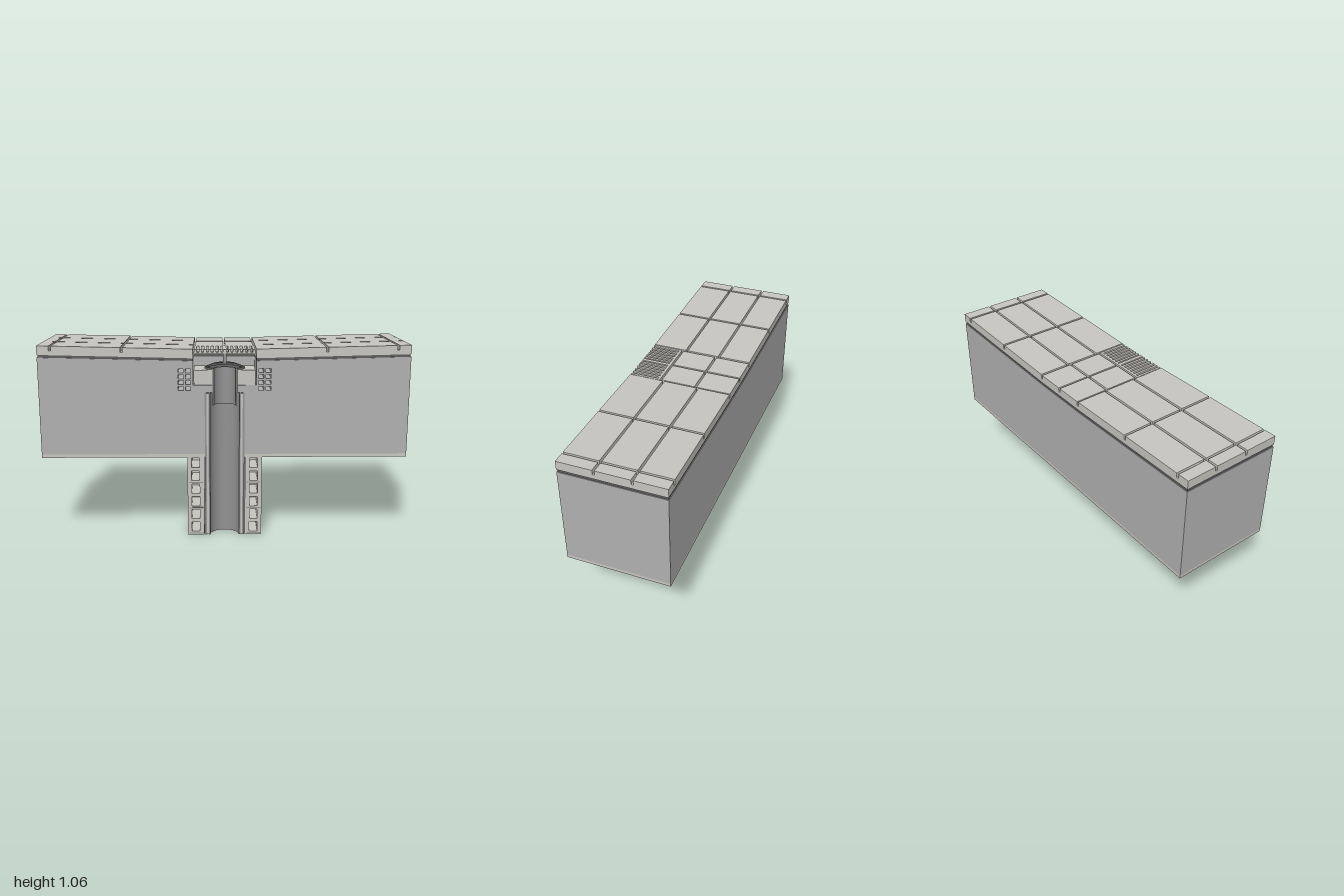
import * as THREE from 'three';

const mat = (name, color, side = THREE.FrontSide) => {
  const m = new THREE.MeshStandardMaterial({ color, side });
  m.name = name;
  return m;
};

const FRONT = 0.28, BACK = -0.28, WELL = 0.17, WELL_Z = 0.11;

// falls toward the drain from both ends, level over the well
const fall = x => Math.max(0, Math.abs(x) - WELL) * 0.024;
const tileTop = x => 1.045 + fall(x);
const bedTop = x => tileTop(x) - 0.025;
const bedBottom = x => tileTop(x) - 0.049;
const slabTop = x => tileTop(x) - 0.063;

const rect = (x0, x1, y0, y1) => [[x0, y0], [x1, y0], [x1, y1], [x0, y1]];
const toShape = pts => new THREE.Shape(pts.map(p => new THREE.Vector2(p[0], p[1])));

export function createModel() {
  const model = new THREE.Group();
  const light = mat('pale stone', 0xc8c6c0);
  const concrete = mat('grey concrete', 0xb0b0b0);
  const metal = mat('pipe grey', 0x929292, THREE.DoubleSide);
  const mortar = mat('sleeve filling', 0xc2c2c0, THREE.DoubleSide);
  const dark = mat('dark membrane', 0x5c5c5c, THREE.DoubleSide);

  const add = (name, geo, material, x = 0, y = 0, z = 0) => {
    const mesh = new THREE.Mesh(geo, material);
    mesh.name = name;
    mesh.position.set(x, y, z);
    model.add(mesh);
    return mesh;
  };
  const box = (name, m, x0, x1, y0, y1, z0, z1) =>
    add(name, new THREE.BoxGeometry(x1 - x0, y1 - y0, z1 - z0), m, (x0 + x1) / 2, (y0 + y1) / 2, (z0 + z1) / 2);

  // cross-section in x/y pushed along z, with optional rectangular cells
  const section = (name, m, pts, z0, z1, cells = []) => {
    const s = toShape(pts);
    cells.forEach(c => s.holes.push(toShape(rect(...c))));
    return add(name, new THREE.ExtrudeGeometry(s, { depth: z1 - z0, bevelEnabled: false }), m, 0, 0, z0);
  };
  const sloped = (name, m, x0, x1, low, high, z0, z1, cells) =>
    section(name, m, [[x0, low(x0)], [x1, low(x1)], [x1, high(x1)], [x0, high(x0)]], z0, z1, cells);

  // plan outline with a half-round notch in the front face, raised along y
  const notched = (name, m, halfW, z0, r, y0, y1) => {
    const s = new THREE.Shape();
    s.moveTo(-halfW, -FRONT);
    s.lineTo(-r, -FRONT);
    s.absarc(0, -FRONT, r, Math.PI, 0, true);
    s.lineTo(halfW, -FRONT);
    s.lineTo(halfW, -z0);
    s.lineTo(-halfW, -z0);
    const g = new THREE.ExtrudeGeometry(s, { depth: y1 - y0, bevelEnabled: false, curveSegments: 32 });
    add(name, g.rotateX(-Math.PI / 2), m, 0, y0, 0);
  };

  // half body of revolution, cut flat on the front
  const halfTurn = (name, m, pts) => {
    const group = new THREE.Group();
    group.name = name;
    group.position.z = FRONT;
    // each straight run is its own band so edges stay sharp
    pts.forEach((p, i) => {
      const q = pts[(i + 1) % pts.length];
      if (p[0] + q[0] === 0) return;
      const band = new THREE.LatheGeometry([new THREE.Vector2(...p), new THREE.Vector2(...q)], 32, Math.PI / 2, Math.PI);
      group.add(new THREE.Mesh(band, m));
    });
    [1, -1].forEach(s => group.add(new THREE.Mesh(
      new THREE.ShapeGeometry(toShape(pts.map(p => [p[0] * s, p[1]]))), m)));
    group.children.forEach(c => { c.name = name + 'Surface'; });
    model.add(group);
  };
  const ring = (name, m, r0, r1, y0, y1) => halfTurn(name, m, rect(r0, r1, y0, y1));

  // floor slab with ceiling plaster below
  notched('ceilingPlaster', light, 1, BACK, 0.108, 0.45, 0.468);
  notched('floorSlab', concrete, 1, BACK, 0.108, 0.468, 0.81);
  const slabLow = () => 0.81;
  for (const s of [-1, 1]) {
    const [x0, x1] = s < 0 ? [-1, -WELL] : [WELL, 1];
    const cells = [];
    for (let row = 0; row < 4; row++) {
      for (const cx of [0.197, 0.236]) {
        const y = 0.822 + row * 0.032;
        cells.push([s * cx - 0.014, s * cx + 0.014, y, y + 0.022]);
      }
    }
    sloped('upperSlabFront', concrete, x0, x1, slabLow, slabTop, WELL_Z, FRONT, cells);
    sloped('upperSlabBack', concrete, x0, x1, slabLow, slabTop, BACK, WELL_Z);
    // pale ends inside the hollow block cells
    const bx = s * 0.2165;
    box('blockCellEnd', light, bx - 0.034, bx + 0.034, 0.821, 0.941, WELL_Z - 0.004, WELL_Z + 0.004);

    // membrane and mortar bed
    sloped('membrane', dark, x0 + (s < 0 ? 0.004 : 0), x1 - (s > 0 ? 0.004 : 0), slabTop, bedBottom, BACK + 0.004, FRONT - 0.004);
    sloped('mortarBed', light, x0, x1, bedBottom, bedTop, BACK, FRONT);

    // side tiles
    const j = 0.006;
    const xs = [[WELL, 0.55 - j], [0.55 + j, 0.93 - j], [0.93 + j, 1]];
    const zs = [[BACK, -0.105 - j], [-0.105 + j, 0.087 - j], [0.087 + j, FRONT]];
    for (const [a, b] of xs) for (const [z0, z1] of zs) {
      sloped('sideTile', light, s < 0 ? -b : a, s < 0 ? -a : b, bedTop, tileTop, z0, z1);
    }

    // tiles behind the grate
    const [c0, c1] = s < 0 ? [-WELL + 0.01, -0.005] : [0.005, WELL - 0.01];
    box('middleTile', light, c0, c1, 1.02, 1.043, BACK, -0.095);
    box('middleTile', light, c0, c1, 1.02, 1.043, -0.083, WELL_Z - 0.008);

    // masonry shaft: hollow blocks on both sides of the pipe
    const holes = [];
    for (let i = 0; i < 6; i++) {
      const y = 0.02 + i * 0.074;
      holes.push([s * 0.16 - 0.022, s * 0.16 + 0.022, y, y + 0.055]);
    }
    const [w0, w1] = s < 0 ? [-0.205, -0.112] : [0.112, 0.205];
    section('shaftSide', light, rect(w0, w1, 0, 0.45), 0.12, FRONT, holes);
    for (const y of [0.009, 0.158, 0.306]) {
      box('blockJoint', metal, w0 + 0.01, w1 - 0.005, y - 0.003, y + 0.003, FRONT - 0.002, FRONT + 0.001);
    }
  }
  box('shaftBack', light, -0.205, 0.205, 0, 0.45, 0.075, 0.12);

  // level part behind the drain well
  box('wellBackSlab', concrete, -WELL, WELL, 0.81, 0.982, BACK, WELL_Z);
  box('membraneMiddle', dark, -WELL, WELL, 0.982, 0.996, BACK + 0.004, WELL_Z - 0.004);
  box('mortarBedMiddle', light, -WELL, WELL, 0.996, 1.02, BACK, WELL_Z);

  // seat around the drain body
  notched('wellFloor', concrete, WELL, WELL_Z, 0.068, 0.81, 0.85);
  notched('drainSeat', light, WELL - 0.004, WELL_Z, 0.068, 0.852, 0.932);

  // down pipe in a sleeve, with the inlet spigot above
  ring('pipe', metal, 0.08, 0.088, 0, 0.81);
  ring('sleeveFilling', mortar, 0.088, 0.098, 0.005, 0.805);
  ring('sleeve', metal, 0.098, 0.108, 0, 0.81);
  ring('inletSpigot', metal, 0.058, 0.067, 0.74, 0.94);

  // inlet flange, bell cap and stem
  halfTurn('inletFlange', dark, [[0.06, 0.932], [0.085, 0.932], [0.108, 0.942], [0.108, 0.95], [0.06, 0.942]]);
  halfTurn('bellCap', dark, [[0, 0.962], [0.055, 0.958], [0.106, 0.946], [0.108, 0.951], [0.06, 0.97], [0, 0.975]]);
  halfTurn('stem', metal, [[0, 0.972], [0.01, 0.972], [0.01, 1.022], [0, 1.022]]);

  // slotted grate
  const g0 = 1.022, g1 = 1.043, edge = WELL - 0.005;
  box('grateRail', light, -edge, edge, g0, g1, WELL_Z + 0.003, WELL_Z + 0.017);
  box('grateCrossBar', metal, -edge, edge, g0, g0 + 0.008, FRONT - 0.014, FRONT - 0.002);
  for (let i = -6; i <= 6; i++) {
    const x = i * 0.0262, w = i === 0 ? 0.01 : 0.0068;
    box('grateBar', light, x - w, x + w, g0, g1, WELL_Z + 0.017, FRONT);
  }
  return model;
}
